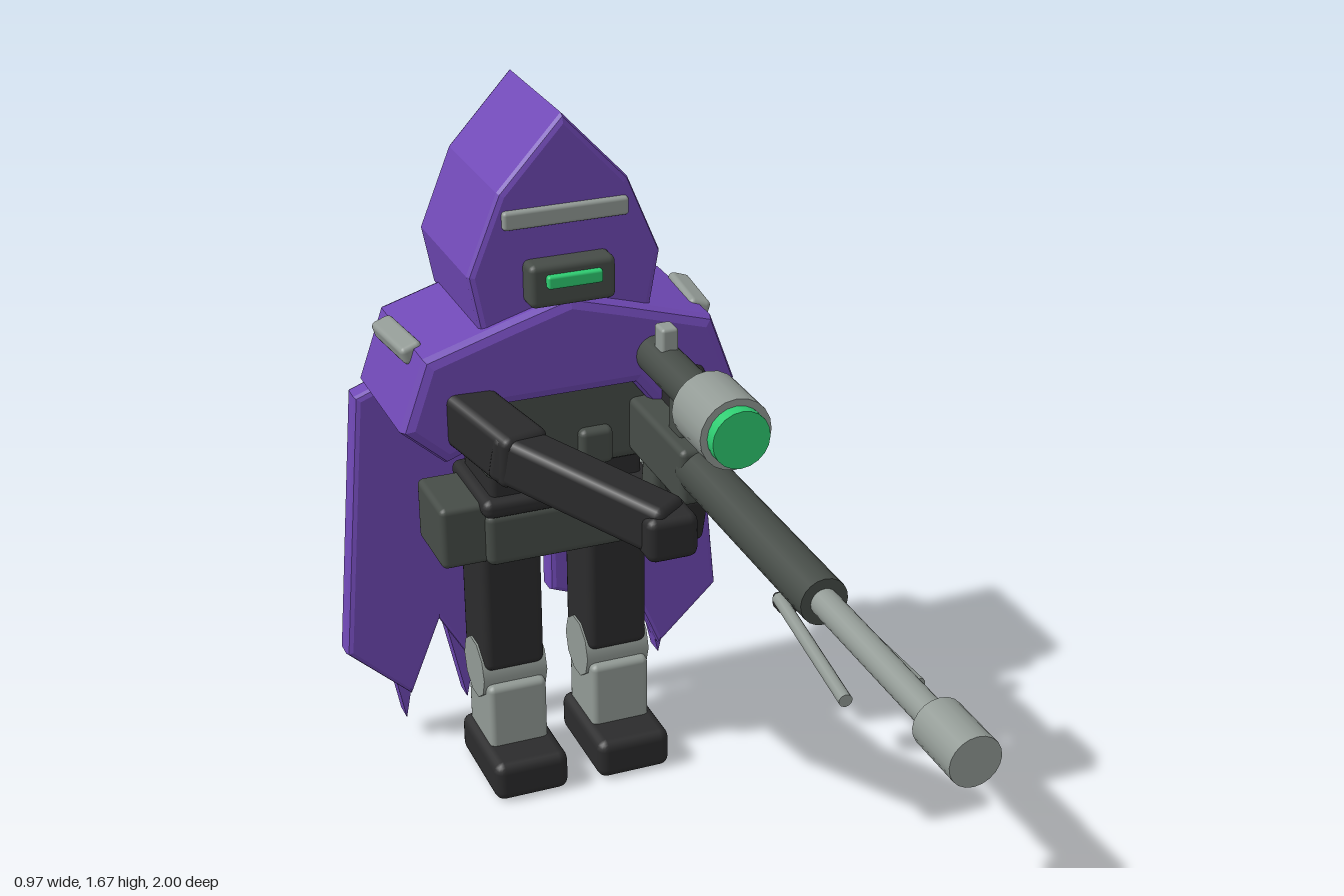
import * as THREE from 'three';
import { RoundedBoxGeometry } from 'three/addons/geometries/RoundedBoxGeometry.js';

const mat = (name, color) => {
  const m = new THREE.MeshStandardMaterial({ color });
  m.name = name;
  return m;
};

export function createModel() {
  const purple = mat('purple cloth', 0x7049b6);
  const dark = mat('dark grey metal', 0x464c47);
  const black = mat('black armour', 0x2b2b2c);
  const light = mat('light grey metal', 0x929a95);
  const green = mat('green glow', 0x2ecc71);

  const model = new THREE.Group();
  model.name = 'hoodedSniper';
  const group = (name) => {
    const g = new THREE.Group();
    g.name = name;
    model.add(g);
    return g;
  };
  const add = (parent, name, geo, material, x = 0, y = 0, z = 0) => {
    const m = new THREE.Mesh(geo, material);
    m.name = name;
    m.position.set(x, y, z);
    parent.add(m);
    return m;
  };
  // Rounded box given by its extents on each axis
  const box = (parent, name, material, [x0, x1], [y0, y1], [z0, z1], r = 0.015) =>
    add(parent, name, new RoundedBoxGeometry(x1 - x0, y1 - y0, z1 - z0, 2, r), material,
      (x0 + x1) / 2, (y0 + y1) / 2, (z0 + z1) / 2);
  // Rounded limb running from point a to point b
  const limb = (parent, name, material, a, b, w, h, r = 0.02) => {
    const p = new THREE.Vector3(...a), q = new THREE.Vector3(...b);
    const m = add(parent, name, new RoundedBoxGeometry(w, h, p.distanceTo(q), 2, r), material);
    m.position.copy(p).lerp(q, 0.5);
    m.lookAt(q);
    return m;
  };
  // Cylinder along z
  const tube = (parent, name, material, r, x, y, z0, z1, sides = 20) =>
    add(parent, name, new THREE.CylinderGeometry(r, r, z1 - z0, sides).rotateX(Math.PI / 2),
      material, x, y, (z0 + z1) / 2);
  // Front outline extruded from z0 to z1 with bevelled edges
  const slab = (parent, name, material, pts, z0, z1, bevel) => {
    const shape = new THREE.Shape(pts.map(([x, y]) => new THREE.Vector2(x, y)));
    const geo = new THREE.ExtrudeGeometry(shape, {
      depth: z1 - z0 - 2 * bevel, bevelEnabled: bevel > 0, bevelThickness: bevel,
      bevelSize: bevel, bevelOffset: -bevel, bevelSegments: 2,
    });
    return add(parent, name, geo, material, 0, 0, z0 + bevel);
  };
  const mirrored = (half) =>
    [...half, ...half.filter((p) => p[0] > 0).reverse().map(([x, y]) => [-x, y])];

  // Hood and face
  const head = group('head');
  slab(head, 'hood', purple,
    mirrored([[0, 1.67], [0.15, 1.51], [0.225, 1.33], [0.2, 1.195]]), -0.9, -0.54, 0.015);
  const tail = slab(head, 'hoodTail', purple,
    [[0.8, 1.36], [0.8, 1.12], [0.865, 1.105], [0.94, 1.1], [0.967, 1.285], [0.9, 1.345]],
    -0.083, 0.083, 0.01);
  tail.rotation.y = Math.PI / 2;
  tail.position.set(-0.073, 0, 0);
  box(head, 'brow', light, [-0.145, 0.145], [1.43, 1.472], [-0.56, -0.525], 0.008);
  box(head, 'visor', dark, [-0.1, 0.1], [1.255, 1.355], [-0.56, -0.49]);
  box(head, 'visorLight', green, [-0.064, 0.064], [1.303, 1.333], [-0.5, -0.475], 0.006);

  // Mantle over the shoulders, arched underneath
  const cloak = group('cloak');
  slab(cloak, 'mantle', purple, mirrored([
    [0, 1.265], [0.14, 1.225], [0.34, 1.165], [0.4, 1.0], [0.3, 0.91],
    [0.22, 0.94], [0.15, 1.03]]), -0.87, -0.505, 0.025);

  // Cape halves with ragged tips, and shoulder plates
  for (const s of [1, -1]) {
    const side = s > 0 ? 'left' : 'right';
    const flip = (pts) => pts.map(([x, y]) => [x * s, y]);
    slab(cloak, side + 'CapePanel', purple, flip([
      [0.04, 1.11], [0.425, 0.965], [0.487, 0.29], [0.33, 0.142], [0.25, 0.34],
      [0.17, 0.2], [0.09, 0.34], [0.04, 0.36]]), -0.878, -0.81, 0.014);
    for (const [x, tip] of [[0.34, s > 0 ? 0.1 : 0.06], [0.18, 0.085]])
      slab(cloak, side + 'CapeTatter', purple,
        flip([[x - 0.045, 0.3], [x + 0.045, 0.3], [x, tip]]), -0.893, -0.842, 0);
    const plate = box(cloak, side + 'ShoulderPlate', light,
      [s * 0.35 - 0.026, s * 0.35 + 0.026], [1.132, 1.174], [-0.775, -0.59], 0.012);
    plate.rotation.set(0, -s * 0.1, -s * 0.3);
  }

  // Torso and belt
  const torso = group('torso');
  box(torso, 'chest', dark, [-0.2, 0.2], [0.83, 1.05], [-0.78, -0.54], 0.025);
  box(torso, 'abdomen', black, [-0.185, 0.185], [0.74, 0.86], [-0.77, -0.56]);
  box(torso, 'waistBand', black, [-0.21, 0.21], [0.735, 0.782], [-0.795, -0.535], 0.02);
  box(torso, 'hips', dark, [-0.2, 0.2], [0.605, 0.74], [-0.785, -0.55], 0.02);
  for (const x of [-0.1, 0.06])
    box(torso, 'chestPouch', dark, [x - 0.04, x + 0.04], [0.84, 0.93], [-0.56, -0.515]);
  box(torso, 'sidePouch', dark, [-0.305, -0.18], [0.61, 0.765], [-0.76, -0.57]);
  add(torso, 'canister', new THREE.CylinderGeometry(0.047, 0.047, 0.165, 16), light,
    0.24, 0.662, -0.72);

  // Legs
  for (const s of [1, -1]) {
    const leg = group(s > 0 ? 'leftLeg' : 'rightLeg');
    const span = (w) => [s * 0.132 - w, s * 0.132 + w];
    box(leg, 'thigh', black, span(0.075), [0.3, 0.63], [-0.755, -0.585], 0.02);
    add(leg, 'knee', new THREE.CylinderGeometry(0.077, 0.077, 0.16, 10).rotateZ(Math.PI / 2),
      light, s * 0.132, 0.28, -0.665);
    box(leg, 'shin', light, span(0.073), [0.08, 0.265], [-0.74, -0.57]);
    box(leg, 'boot', black, span(0.093), [0, 0.102], [-0.755, -0.475], 0.025);
  }

  // Right arm reaches forward to support the rifle
  const rightArm = group('rightArm');
  limb(rightArm, 'upperArm', black, [-0.27, 1.03, -0.62], [-0.18, 0.99, -0.31], 0.115, 0.125);
  limb(rightArm, 'forearm', black, [-0.22, 1.0, -0.37], [0.04, 0.92, -0.03], 0.1, 0.115);
  box(rightArm, 'hand', black, [-0.025, 0.09], [0.86, 0.962], [-0.1, 0.01], 0.02);

  // Left arm bends down to the trigger
  const leftArm = group('leftArm');
  limb(leftArm, 'upperArm', black, [0.265, 1.03, -0.58], [0.265, 0.915, -0.35], 0.105, 0.115);
  limb(leftArm, 'forearm', black, [0.285, 0.93, -0.43], [0.2, 0.865, -0.29], 0.09, 0.09);
  box(leftArm, 'hand', black, [0.155, 0.245], [0.835, 0.925], [-0.36, -0.26]);

  // Rifle
  const rifle = group('rifle');
  const X = 0.197, Y = 0.927;
  tube(rifle, 'muzzle', light, 0.053, X, Y, 0.86, 1);
  tube(rifle, 'barrel', light, 0.03, X, Y, 0.36, 0.88);
  tube(rifle, 'handguard', dark, 0.052, X, Y, -0.26, 0.385);
  box(rifle, 'receiver', dark, [X - 0.05, X + 0.05], [0.85, 0.985], [-0.66, -0.23]);
  box(rifle, 'stock', light, [X - 0.044, X + 0.044], [0.865, 0.99], [-1, -0.63], 0.02);
  limb(rifle, 'foreGrip', black, [X, 0.86, -0.29], [X, 0.735, -0.325], 0.06, 0.075, 0.015);
  limb(rifle, 'magazine', dark, [X, 0.87, -0.465], [X, 0.69, -0.495], 0.065, 0.085, 0.015);

  // Scope
  tube(rifle, 'scopeTube', dark, 0.046, X, 1.1, -0.56, -0.2);
  tube(rifle, 'scopeBell', light, 0.082, X, 1.098, -0.21, -0.055);
  tube(rifle, 'scopeLens', green, 0.066, X, 1.098, -0.06, -0.025);
  box(rifle, 'scopeMount', dark, [X - 0.025, X + 0.025], [0.97, 1.07], [-0.37, -0.3], 0.008);
  box(rifle, 'scopeKnob', light, [X - 0.02, X + 0.02], [1.12, 1.195], [-0.465, -0.415], 0.008);

  // Folded bipod
  box(rifle, 'bipodMount', black, [X - 0.055, X + 0.055], [0.86, 0.895], [0.255, 0.3], 0.01);
  for (const s of [1, -1]) {
    const path = new THREE.LineCurve3(
      new THREE.Vector3(X + s * 0.045, 0.885, 0.27), new THREE.Vector3(X + s * 0.078, 0.866, 0.645));
    const length = path.getLength();
    const rod = add(rifle, 'bipodLeg',
      new THREE.CylinderGeometry(0.014, 0.014, length, 10).rotateX(Math.PI / 2), light);
    rod.position.copy(path.getPoint(0.5));
    rod.lookAt(path.v2);
  }
  return model;
}
